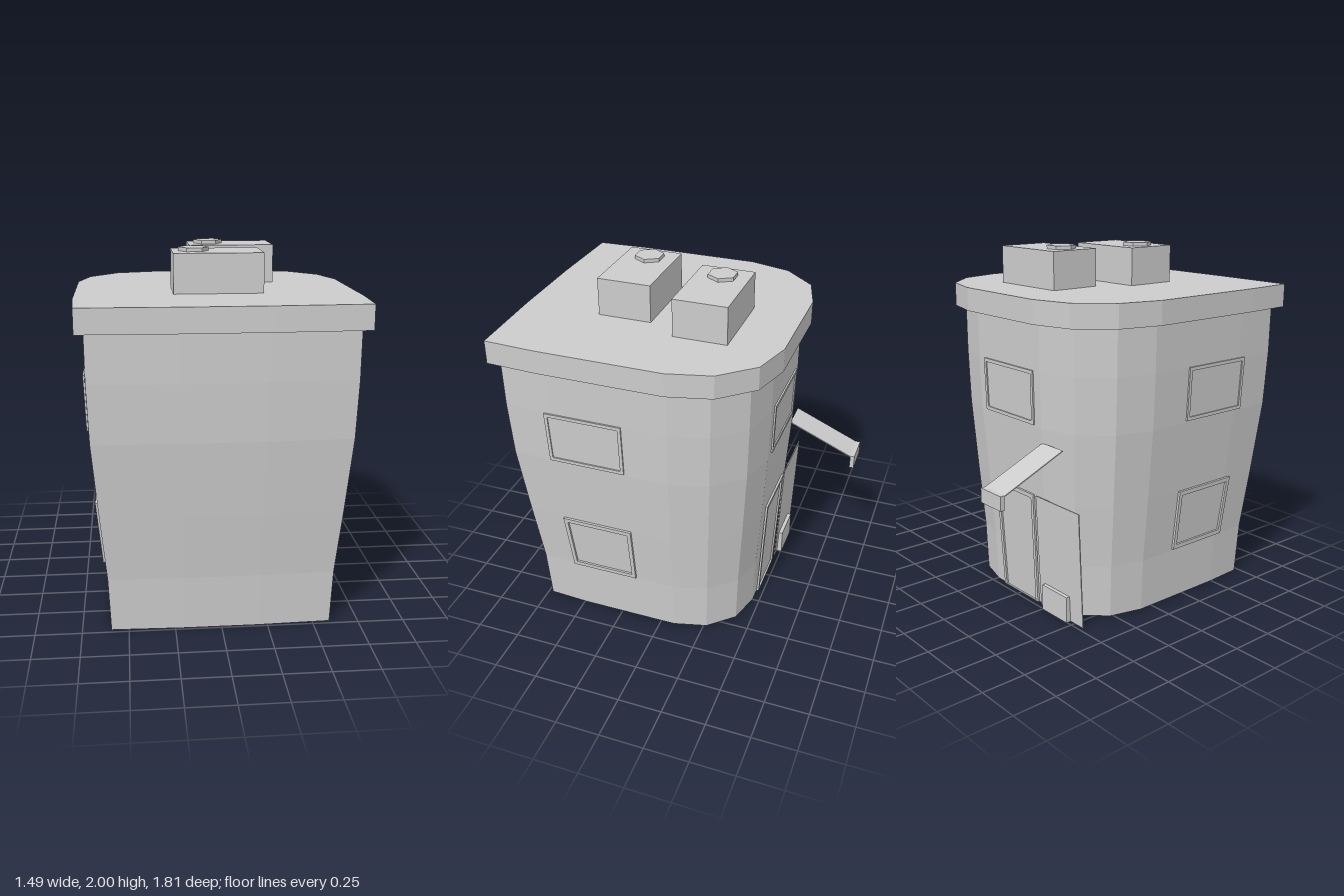
import * as THREE from 'three';

export function createModel() {
  const group = new THREE.Group();
  const grey = new THREE.MeshStandardMaterial({ color: 0xcccccc });
  grey.name = 'plain grey';

  const add = (name, geometry, x = 0, y = 0, z = 0) => {
    const mesh = new THREE.Mesh(geometry, grey);
    mesh.name = name;
    mesh.position.set(x, y, z);
    group.add(mesh);
    return mesh;
  };

  // Floor plan: slightly bowed front, straight sides, rounded back
  const half = [[0.24, 0.905], [0.73, 0.89], [0.745, 0.6], [0.745, -0.1],
    [0.685, -0.34], [0.525, -0.52], [0.3, -0.585]];
  const outline = [...half, ...half.map(([x, z]) => [-x, z]).reverse()];

  // Stack of scaled floor plans [y, scale], closed at both ends
  function loft(rings, backScale) {
    const pos = [], index = [], n = outline.length, r = rings.length;
    for (const [y, s] of rings)
      for (const [x, z] of outline) pos.push(x * s, y, z * s * (z < 0 ? backScale : 1));
    pos.push(0, rings[0][0], 0, 0, rings[r - 1][0], 0);
    for (let i = 0; i < n; i++) {
      const j = (i + 1) % n;
      for (let k = 0; k < r - 1; k++) {
        const a = k * n + i, b = k * n + j;
        index.push(a, b, b + n, a, b + n, a + n);
      }
      index.push(r * n, j, i, r * n + 1, (r - 1) * n + i, (r - 1) * n + j);
    }
    const indexed = new THREE.BufferGeometry();
    indexed.setAttribute('position', new THREE.Float32BufferAttribute(pos, 3));
    indexed.setIndex(index);
    const geometry = indexed.toNonIndexed();
    geometry.computeVertexNormals();
    return geometry;
  }

  // Walls flare outwards towards the overhanging roof slab
  const wallRings = [[0, 0.814], [0.3, 0.831], [0.665, 0.876], [1.07, 0.922], [1.38, 0.937], [1.64, 0.94]];
  add('walls', loft(wallRings, 0.965));
  add('roofSlab', loft([[1.64, 1], [1.77, 1]], 1));

  const scaleAt = (y) => {
    let k = 0;
    while (k < wallRings.length - 2 && y > wallRings[k + 1][0]) k++;
    const [y0, s0] = wallRings[k], [y1, s1] = wallRings[k + 1];
    return s0 + (s1 - s0) * (y - y0) / (y1 - y0);
  };

  // Bend a flat extrusion onto a sloping wall, then turn it to its side
  function ontoWall(geometry, wall, angle) {
    const p = geometry.attributes.position;
    for (let i = 0; i < p.count; i++) {
      const s = scaleAt(p.getY(i));
      p.setXYZ(i, p.getX(i) * s, p.getY(i), wall * s + p.getZ(i));
    }
    geometry.rotateY(angle);
    geometry.computeVertexNormals();
    return geometry;
  }

  const rect = (Type, u0, u1, y0, y1) => {
    const path = new Type();
    path.moveTo(u0, y0);
    path.lineTo(u1, y0);
    path.lineTo(u1, y1);
    path.lineTo(u0, y1);
    path.closePath();
    return path;
  };

  // Raised frame around a recessed pane
  function opening(name, u0, u1, y0, y1, wall, angle, depth, border, sill = border) {
    const inner = [u0 + border, u1 - border, y0 + sill, y1 - border];
    const frame = rect(THREE.Shape, u0, u1, y0, y1);
    frame.holes.push(rect(THREE.Path, ...inner));
    const options = { depth, bevelEnabled: false };
    add(name + 'Frame', ontoWall(new THREE.ExtrudeGeometry(frame, options), wall, angle));
    const pane = new THREE.ExtrudeGeometry(rect(THREE.Shape, ...inner), { depth: 0.002, bevelEnabled: false });
    add(name + 'Pane', ontoWall(pane, wall, angle));
  }

  // Side windows, mirrored
  for (const side of [1, -1]) {
    const [u0, u1] = side > 0 ? [-0.642, -0.172] : [0.172, 0.642];
    const angle = side * Math.PI / 2;
    opening('upperSideWindow', u0, u1, 1.08, 1.38, 0.745, angle, 0.009, 0.02);
    opening('lowerSideWindow', u0, u1, 0.31, 0.665, 0.745, angle, 0.014, 0.026);
  }

  // Back window and door
  opening('backWindow', -0.24, 0.24, 1.08, 1.38, 0.565, Math.PI, 0.009, 0.02);
  opening('door', -0.2, 0.2, 0, 0.665, 0.565, Math.PI, 0.012, 0.025, 0.004);

  // Leaning panel beside the door, with a low box in front of it
  const panel = add('backPanel', new THREE.BoxGeometry(0.37, 0.665, 0.006), -0.385, 0.333, -0.488);
  panel.rotation.x = -Math.atan2(0.03, 0.665);
  add('lowBox', new THREE.BoxGeometry(0.215, 0.15, 0.04), -0.358, 0.075, -0.485);

  // Sloping awning with a hanging front edge
  const awning = add('awning', new THREE.BoxGeometry(0.175, 0.006, 0.42), -0.357, 0.9, -0.7);
  awning.rotation.x = -Math.atan2(0.165, 0.38);
  add('awningEdge', new THREE.BoxGeometry(0.175, 0.08, 0.025), -0.357, 0.785, -0.897);

  // Rooftop units with hexagonal caps
  for (const [x, z] of [[0.0075, 0.315], [0.1225, -0.15]]) {
    add('roofUnit', new THREE.BoxGeometry(0.475, 0.21, 0.3), x, 1.875, z);
    const cap = new THREE.CylinderGeometry(0.082, 0.082, 0.02, 6, 1, false, Math.PI / 2).toNonIndexed();
    cap.computeVertexNormals();
    add('roofUnitCap', cap, x - 0.122, 1.99, z - 0.004);
  }

  return group;
}
